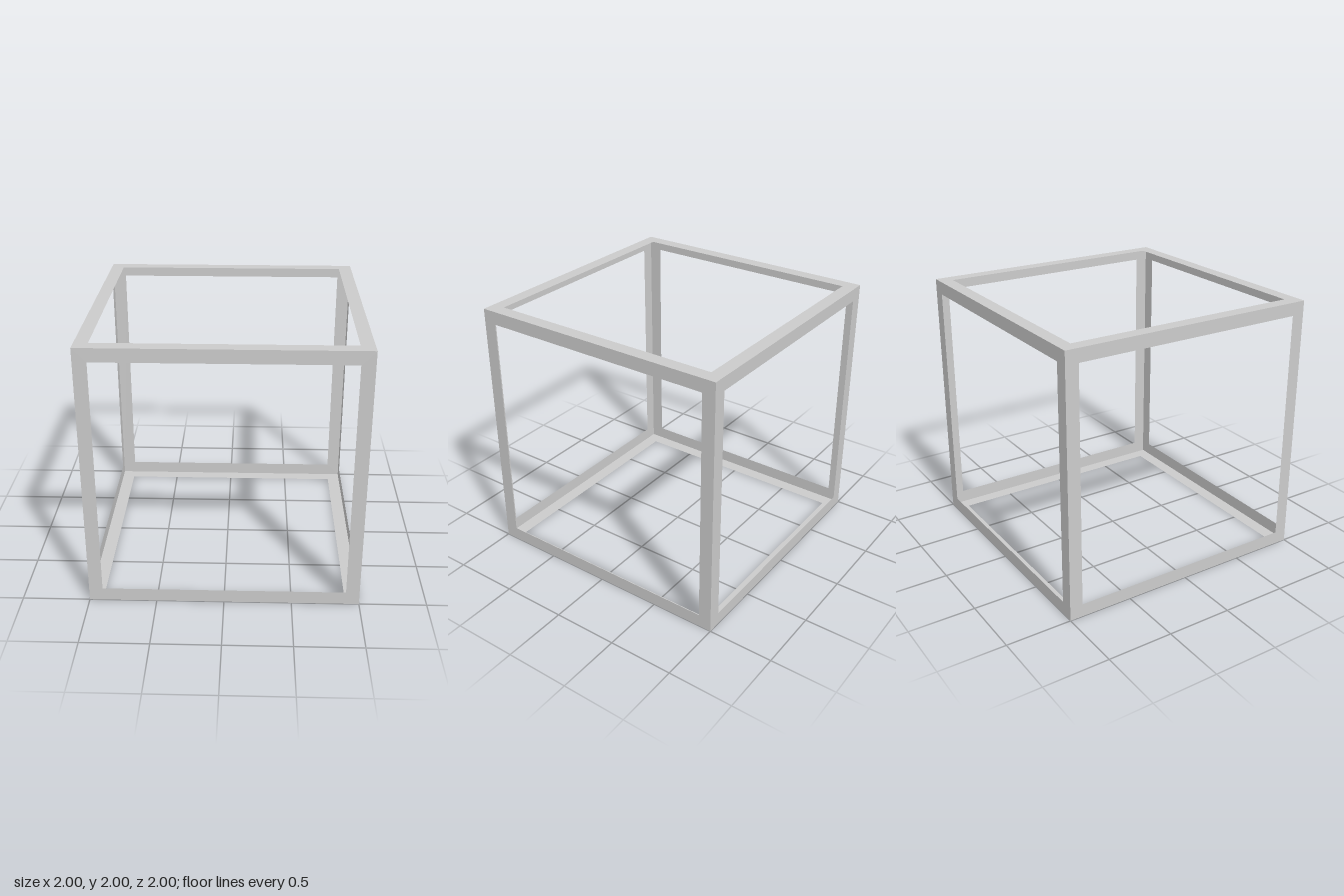
import * as THREE from 'three';

const HALF = 1;     // half the cube's edge
const INNER = 0.9;  // half the opening's edge

// Square outline, centred on the origin
function square(h, Type) {
  return new Type([[-h, -h], [h, -h], [h, h], [-h, h]].map(([x, y]) => new THREE.Vector2(x, y)));
}

export function createModel() {
  const model = new THREE.Group();
  model.name = 'openCubeFrame';
  const material = new THREE.MeshStandardMaterial({
    color: 0xcccccc, flatShading: true, side: THREE.DoubleSide,
  });

  // One thin square border, shared by all six sides, facing +z
  const outline = square(HALF, THREE.Shape);
  outline.holes.push(square(INNER, THREE.Path));
  const border = new THREE.ShapeGeometry(outline).translate(0, 0, HALF);

  // Turn the border to each side of the cube: [name, x rotation, y rotation]
  const q = Math.PI / 2;
  const sides = [
    ['frontFrame', 0, 0], ['backFrame', 0, 2 * q],
    ['leftFrame', 0, q], ['rightFrame', 0, -q],
    ['topFrame', -q, 0], ['bottomFrame', q, 0],
  ];
  for (const [name, rx, ry] of sides) {
    const frame = new THREE.Mesh(border, material);
    frame.name = name;
    frame.rotation.set(rx, ry, 0);
    frame.position.y = HALF;
    model.add(frame);
  }
  return model;
}
